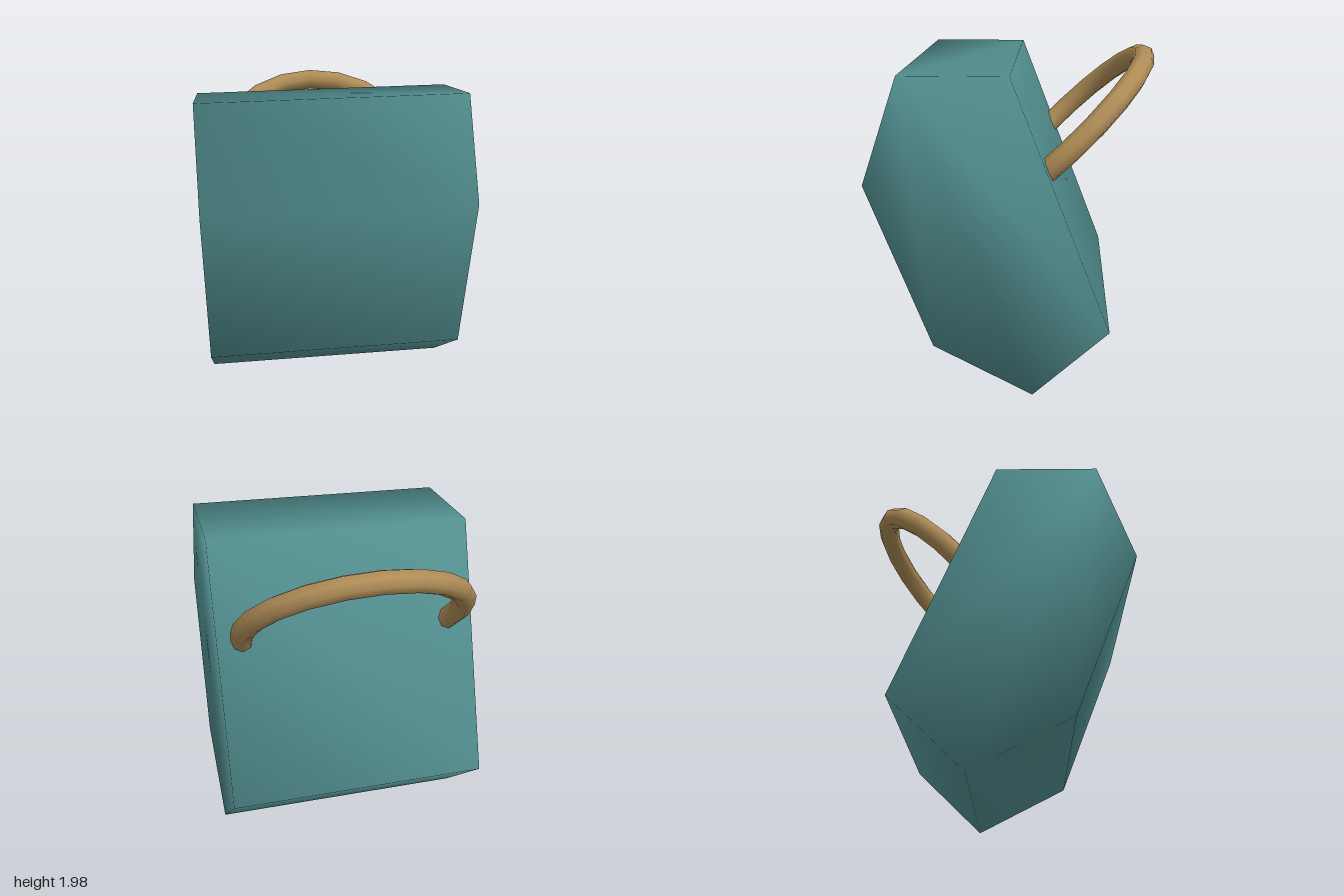
import * as THREE from 'three';

const bodyTeal = new THREE.MeshStandardMaterial({ name: 'bodyTeal', color: 0x528e8f });
const handleBrass = new THREE.MeshStandardMaterial({ name: 'handleBrass', color: 0xb08d57 });

// Six-sided prism with shared corners, so the shading runs softly over its edges
function bodyGeometry() {
  const profile = [
    [-0.94, 1.88, 0.16], [-1, 1.27, 0.36], [-0.84, 0.3, 0.02],
    [-0.62, 0, -0.52], [-0.47, 0.42, -0.93], [-0.71, 1.885, -0.4],
  ];
  const along = [1.46, 0.04, 0.58];
  const n = profile.length;
  const positions = [
    ...profile.flat(),
    ...profile.flatMap((p) => p.map((v, k) => v + along[k])),
  ];
  const index = [];
  for (let i = 0; i < n; i++) {
    const j = (i + 1) % n;
    index.push(i, j, n + j, i, n + j, n + i);
  }
  // End faces
  for (let k = 1; k < n - 1; k++) {
    index.push(0, k + 1, k, n, n + k, n + k + 1);
  }
  const geometry = new THREE.BufferGeometry();
  geometry.setAttribute('position', new THREE.Float32BufferAttribute(positions, 3));
  geometry.setIndex(index);
  geometry.computeVertexNormals();
  return geometry;
}

// Ring arc standing out from the back face, its ends sunk into the body
function handleGeometry() {
  const arc = THREE.MathUtils.degToRad(208);
  const across = new THREE.Vector3(0.93, 0.026, 0.37).normalize();
  const out = new THREE.Vector3(0.262, 0.707, -0.657);
  out.addScaledVector(across, -out.dot(across)).normalize();
  const side = new THREE.Vector3().crossVectors(across, out);
  const frame = new THREE.Matrix4().makeBasis(across, out, side).setPosition(0.14, 1.45, -0.385);
  return new THREE.TorusGeometry(0.654, 0.066, 8, 12, arc)
    .rotateZ(Math.PI / 2 - arc / 2)
    .applyMatrix4(frame);
}

export function createModel() {
  const model = new THREE.Group();
  model.name = 'handledBlock';

  const body = new THREE.Mesh(bodyGeometry(), bodyTeal);
  body.name = 'body';

  const handle = new THREE.Mesh(handleGeometry(), handleBrass);
  handle.name = 'handle';

  model.add(body, handle);
  return model;
}
